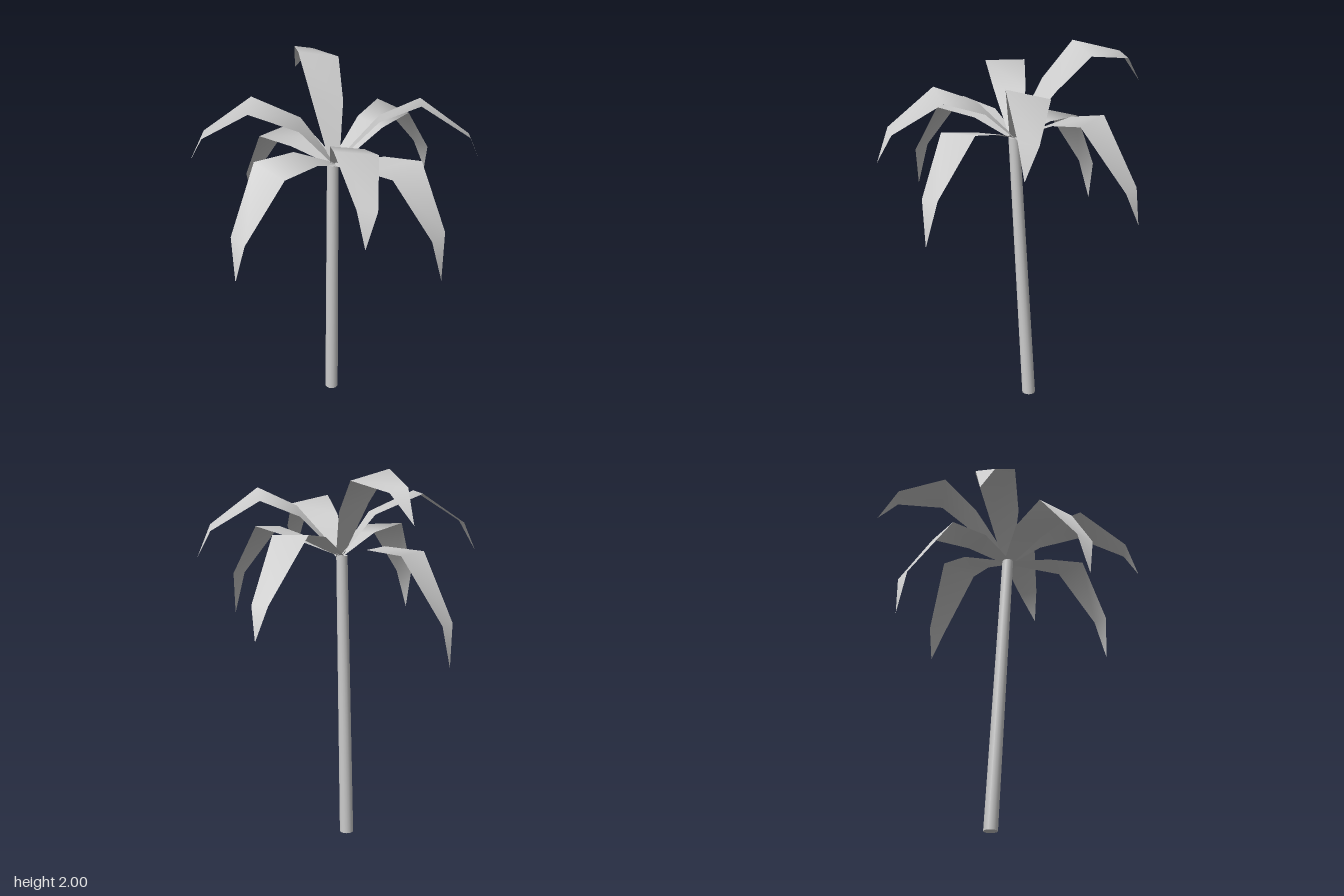
import * as THREE from 'three';

const grey = new THREE.MeshStandardMaterial({ color: 0xcccccc });
const leafGrey = new THREE.MeshStandardMaterial({ color: 0xcccccc, side: THREE.DoubleSide });

const ROOT = [-0.03, 1.53, -0.01];
// half width of a frond at its root and at the three ribs before the tip
const HALF_WIDTHS = [0.025, 0.085, 0.108, 0.05];

// each frond: three spine points and the tip, plus how far one edge is lifted
const FRONDS = [
  { spine: [[0.25, 1.66, -0.07], [0.43, 1.69, -0.1], [0.67, 1.38, -0.13], [0.715, 1.21, -0.14]], roll: -0.008 },
  { spine: [[0.16, 1.77, 0.11], [0.32, 1.86, 0.235], [0.5, 1.69, 0.41], [0.54, 1.53, 0.475]], roll: 0.025 },
  { spine: [[0.025, 1.61, 0.23], [0.055, 1.655, 0.45], [0.083, 1.375, 0.66], [0.085, 1.14, 0.695]], roll: -0.01 },
  { spine: [[-0.09, 1.71, 0.17], [-0.19, 1.79, 0.365], [-0.305, 1.625, 0.59], [-0.355, 1.46, 0.64]], roll: 0.02 },
  { spine: [[-0.23, 1.63, 0.015], [-0.47, 1.655, 0.05], [-0.69, 1.36, 0.085], [-0.72, 1.14, 0.09]], roll: 0.01 },
  { spine: [[-0.17, 1.75, -0.11], [-0.365, 1.855, -0.26], [-0.555, 1.695, -0.41], [-0.61, 1.54, -0.465]], roll: 0 },
  { spine: [[-0.07, 1.585, -0.22], [-0.1, 1.575, -0.44], [-0.11, 1.24, -0.66], [-0.105, 1.02, -0.685]], roll: 0 },
  { spine: [[0.055, 1.8, -0.18], [0.125, 1.975, -0.345], [0.205, 1.92, -0.59], [0.225, 1.765, -0.7]], roll: -0.025 },
];

// flat tapered strip that follows the spine and ends in a point
function frondGeometry({ spine, roll }) {
  const tip = spine[spine.length - 1];
  const heading = new THREE.Vector2(tip[0] - ROOT[0], tip[2] - ROOT[2]).normalize();
  const positions = [], index = [];
  [ROOT, ...spine.slice(0, -1)].forEach(([x, y, z], i) => {
    const w = HALF_WIDTHS[i];
    for (const s of [-1, 1]) {
      const lift = s * roll * (w / HALF_WIDTHS[2]);
      positions.push(x - s * w * heading.y, y + lift, z + s * w * heading.x);
    }
  });
  positions.push(...tip);
  const ribs = HALF_WIDTHS.length;
  for (let i = 0; i < ribs - 1; i++) {
    const a = i * 2;
    index.push(a, a + 1, a + 2, a + 1, a + 3, a + 2);
  }
  index.push(ribs * 2 - 2, ribs * 2 - 1, ribs * 2);
  const geometry = new THREE.BufferGeometry();
  geometry.setAttribute('position', new THREE.Float32BufferAttribute(positions, 3));
  geometry.setIndex(index);
  geometry.computeVertexNormals();
  return geometry;
}

// slightly leaning, tapering trunk
function trunkGeometry() {
  const height = 1.53;
  const geometry = new THREE.CylinderGeometry(0.03, 0.037, height, 16);
  geometry.translate(0, height / 2, 0);
  const p = geometry.attributes.position;
  for (let i = 0; i < p.count; i++) {
    const t = p.getY(i) / height;
    p.setX(i, p.getX(i) + 0.003 - 0.041 * t);
    p.setZ(i, p.getZ(i) - 0.09 + 0.075 * t);
  }
  return geometry;
}

export function createModel() {
  const model = new THREE.Group();
  model.name = 'palmTree';

  const trunk = new THREE.Mesh(trunkGeometry(), grey);
  trunk.name = 'trunk';
  model.add(trunk);

  const crown = new THREE.Group();
  crown.name = 'crown';
  FRONDS.forEach((frond, i) => {
    const mesh = new THREE.Mesh(frondGeometry(frond), leafGrey);
    mesh.name = `frond${i + 1}`;
    crown.add(mesh);
  });
  model.add(crown);
  return model;
}
